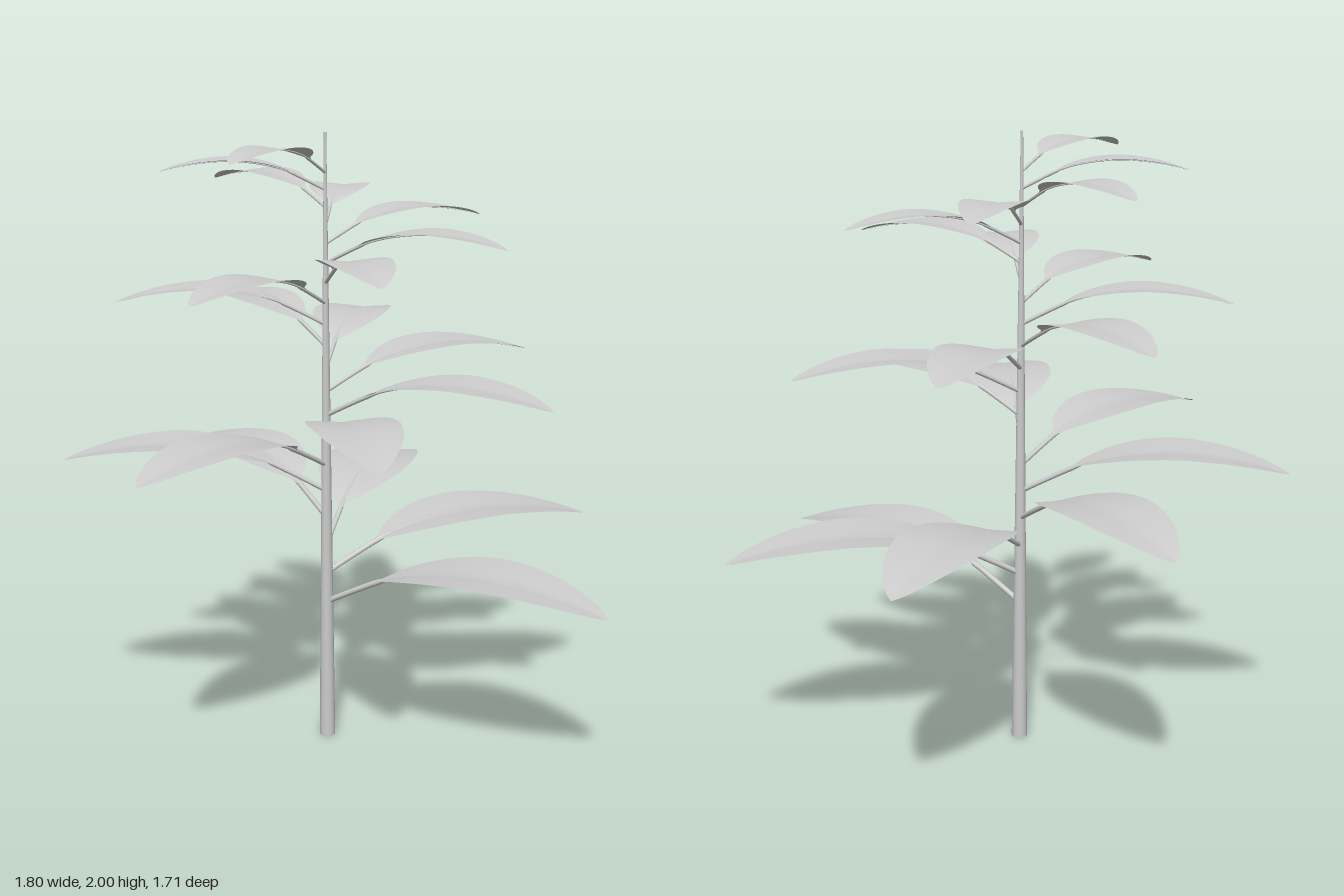
import * as THREE from 'three';

const V = (x, y, z = 0) => new THREE.Vector3(x, y, z);
const mat = new THREE.MeshStandardMaterial({ color: 0xcccccc });
const leafMat = new THREE.MeshStandardMaterial({ color: 0xcccccc, side: THREE.DoubleSide });

// Arched midline of a full-size leaf, from the stem axis to the tip
const spine = new THREE.SplineCurve([
  [0, 0], [0.1, 0.052], [0.21, 0.105], [0.29, 0.132], [0.39, 0.153], [0.49, 0.165],
  [0.59, 0.169], [0.69, 0.163], [0.79, 0.151], [0.89, 0.132], [0.99, 0.106],
].map(([x, y]) => new THREE.Vector2(x, y)));

// Blade half width by distance from the stem
const outline = new THREE.SplineCurve([
  [0.165, 0.008], [0.2, 0.026], [0.24, 0.07], [0.31, 0.118], [0.4, 0.156], [0.5, 0.172],
  [0.6, 0.169], [0.7, 0.152], [0.8, 0.122], [0.9, 0.074], [0.96, 0.034], [0.99, 0.002],
].map(([x, y]) => new THREE.Vector2(x, y)));

// Height of the midline at distance r
function spineY(r) {
  let lo = 0, hi = 1;
  for (let k = 0; k < 24; k++) {
    const mid = (lo + hi) / 2;
    if (spine.getPoint(mid).x < r) lo = mid; else hi = mid;
  }
  return spine.getPoint(lo).y;
}

// Thin blade: a shallow gutter with slightly raised edges
function bladeGeometry() {
  const rows = 40, cols = 8, pos = [], index = [];
  for (let i = 0; i <= rows; i++) {
    const p = outline.getPoint(i / rows), y = spineY(p.x);
    for (let j = 0; j <= cols; j++) {
      const u = (j / cols) * 2 - 1;
      const lift = 0.09 * p.y * Math.pow(Math.abs(u), 0.8);
      pos.push(p.x, y + lift, u * p.y);
      if (i < rows && j < cols) {
        const a = i * (cols + 1) + j, b = a + cols + 1;
        index.push(a, a + 1, b, b, a + 1, b + 1);
      }
    }
  }
  const g = new THREE.BufferGeometry();
  g.setAttribute('position', new THREE.Float32BufferAttribute(pos, 3));
  g.setIndex(index);
  g.computeVertexNormals();
  return g;
}

// Leaf stalk that runs on under the blade as a tapering midrib
function stalkGeometry() {
  const pts = [];
  for (let i = 0; i <= 16; i++) {
    const r = (i / 16) * 0.96;
    pts.push(V(r, spineY(r) - 0.003));
  }
  const path = new THREE.CatmullRomCurve3(pts);
  const rings = 32, sides = 8;
  const g = new THREE.TubeGeometry(path, rings, 1, sides);
  const p = g.attributes.position;
  for (let i = 0; i <= rings; i++) {
    const c = path.getPointAt(i / rings);
    const radius = c.x < 0.2 ? 0.0095 : 0.0095 * (1 - (c.x - 0.2) / 0.8) * 0.6;
    for (let j = 0; j <= sides; j++) {
      const k = i * (sides + 1) + j;
      const v = V(0, 0).fromBufferAttribute(p, k).sub(c).multiplyScalar(radius).add(c);
      p.setXYZ(k, v.x, v.y, v.z);
    }
  }
  return g;
}

export function createModel() {
  const plant = new THREE.Group();
  plant.name = 'plant';

  // Tapering upright stem
  const stem = new THREE.Mesh(new THREE.CylinderGeometry(0.004, 0.026, 2, 12), mat);
  stem.name = 'stem';
  stem.position.y = 1;
  plant.add(stem);

  // Spiral of leaves, each a little smaller and closer to the last
  const blade = bladeGeometry(), stalk = stalkGeometry();
  const ratio = 0.965, turn = THREE.MathUtils.degToRad(52);
  for (let i = 0; i < 20; i++) {
    const size = ratio ** i;
    const leaf = new THREE.Group();
    leaf.name = `leaf${i + 1}`;
    const b = new THREE.Mesh(blade, leafMat);
    b.name = 'leafBlade';
    const s = new THREE.Mesh(stalk, mat);
    s.name = 'leafStalk';
    leaf.add(b, s);
    leaf.scale.setScalar(size);
    leaf.rotation.y = i * turn;
    leaf.position.y = 0.472 + 0.1 * (1 - size) / (1 - ratio);
    plant.add(leaf);
  }

  plant.position.set(-0.09, 0, 0.04);
  const model = new THREE.Group();
  model.name = 'pottedPlantStem';
  model.add(plant);
  return model;
}
